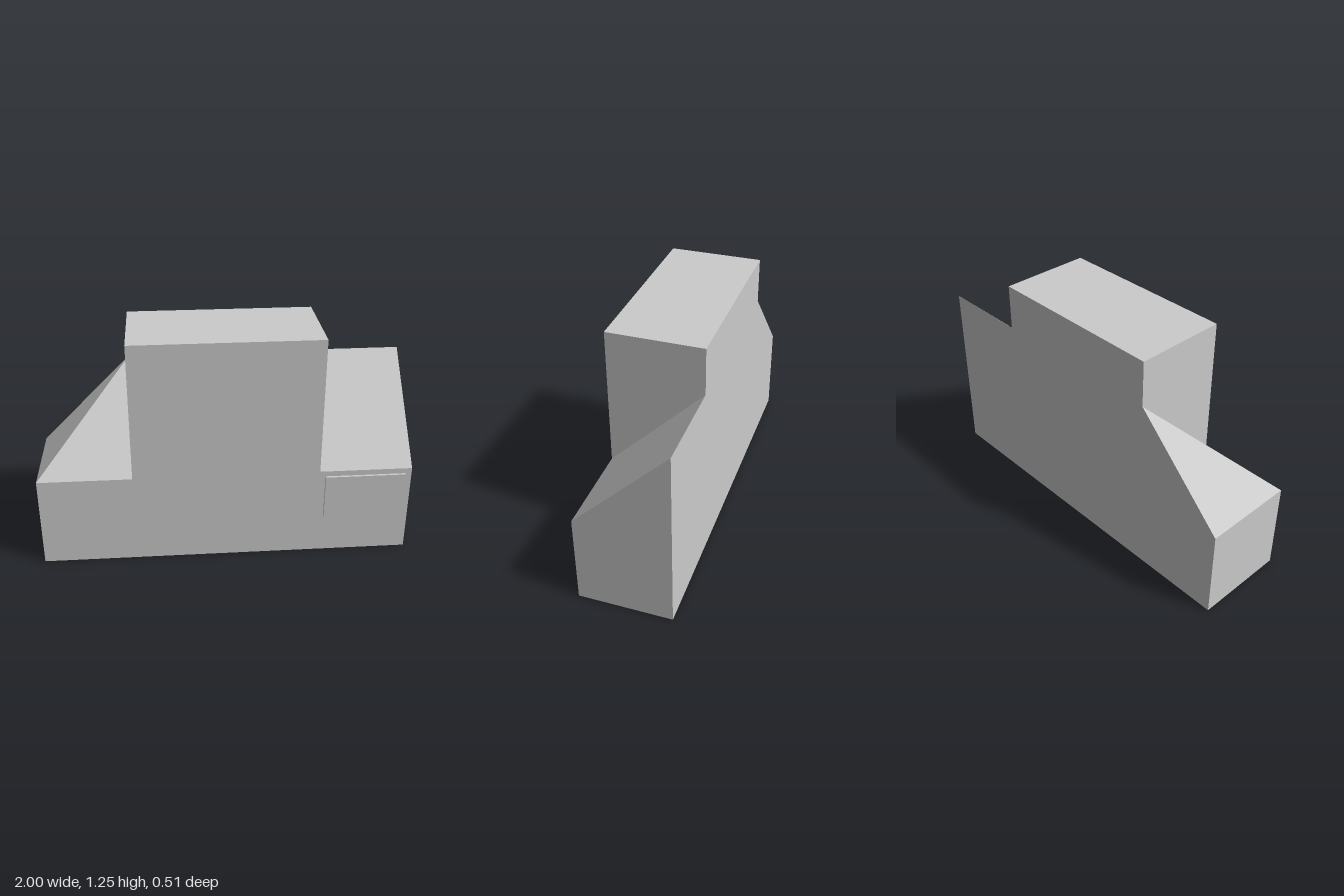
import * as THREE from 'three';
import { ConvexGeometry } from 'three/addons/geometries/ConvexGeometry.js';

const BACK = -0.257, FRONT = 0.243;

export function createModel() {
  const model = new THREE.Group();
  const material = new THREE.MeshStandardMaterial({ color: 0xcccccc, flatShading: true });

  const add = (name, geometry) => {
    const mesh = new THREE.Mesh(geometry, material);
    mesh.name = name;
    model.add(mesh);
  };

  // Box given by its lower and upper corner
  const block = (name, [x0, y0, z0], [x1, y1, z1]) => {
    const geometry = new THREE.BoxGeometry(x1 - x0, y1 - y0, z1 - z0);
    geometry.translate((x0 + x1) / 2, (y0 + y1) / 2, (z0 + z1) / 2);
    add(name, geometry);
  };

  // Flat-faced solid spanned by its corner points
  const solid = (name, corners) =>
    add(name, new ConvexGeometry(corners.map((c) => new THREE.Vector3(...c))));

  // Long base and the tower rising from its middle
  block('base', [-1, 0, BACK], [1, 0.5, FRONT]);
  block('tower', [-0.5, 0.5, BACK], [0.5, 1.25, FRONT]);

  // Corner slope: rises from two sides to one point at the tower's back edge
  solid('cornerSlope', [
    [-1, 0.5, BACK], [-1, 0.5, FRONT], [-0.5, 0.5, FRONT], [-0.5, 0.5, BACK],
    [-0.5, 1, BACK],
  ]);

  // Straight ramp: rises from front to back
  solid('ramp', [0.5, 1].flatMap((x) => [
    [x, 0.5, FRONT], [x, 0.5, BACK], [x, 1, BACK],
  ]));

  // Thin raised panel on the front
  block('frontPanel', [0.53, 0.22, FRONT], [0.965, 0.47, 0.257]);

  return model;
}
